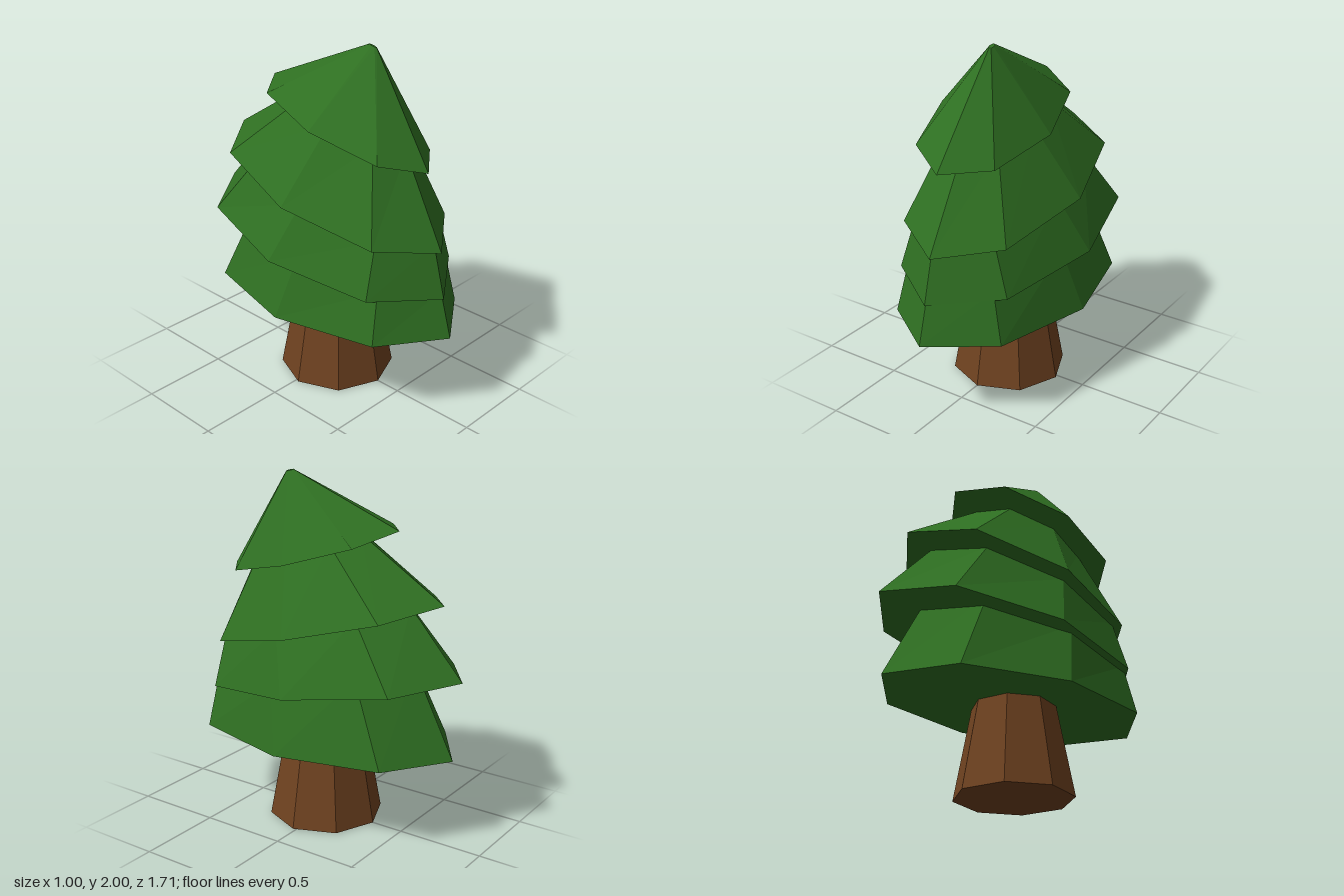
import * as THREE from 'three';

// A ring is { c: centre, a: half-axis to the left (+x), b: half-axis to the front (+z) }
const ring = (c, a, b) => ({
  c: new THREE.Vector3(...c),
  a: new THREE.Vector3(...a),
  b: new THREE.Vector3(...b),
});

const pointOn = (r, x, z) => r.c.clone().addScaledVector(r.a, x).addScaledVector(r.b, z);

// Eight-sided capped frustum skewed between two tilted elliptical rings
function frustum(name, material, bottom, top) {
  const geometry = new THREE.CylinderGeometry(1, 1, 1, 8).toNonIndexed();
  const pos = geometry.attributes.position;
  for (let i = 0; i < pos.count; i++) {
    const x = pos.getX(i), z = pos.getZ(i);
    const p = pointOn(pos.getY(i) > 0 ? top : bottom, x, z);
    pos.setXYZ(i, p.x, p.y, p.z);
  }
  geometry.computeVertexNormals();
  const mesh = new THREE.Mesh(geometry, material);
  mesh.name = name;
  return mesh;
}

export function createModel() {
  const tree = new THREE.Group();
  tree.name = 'tree';

  const bark = new THREE.MeshStandardMaterial({ color: 0x6f4220, flatShading: true });
  const leaf = new THREE.MeshStandardMaterial({ color: 0x2f7022, flatShading: true });

  // Tapered trunk, reaching slightly into the foliage
  tree.add(frustum('trunk', bark,
    ring([0, 0, 0.02], [0.33, 0, 0], [0, 0, 0.33]),
    ring([0, 0.55, 0.02], [0.228, 0, 0], [0, 0, 0.228])));

  // Foliage tiers, lowest first; each one tilts further forward
  const tiers = [
    ['lowestTier',
      ring([0, 0.51, 0.02], [0.5, 0, 0], [0, 0, 0.835]),
      ring([0, 0.885, 0.107], [0.405, 0, 0], [0, -0.115, 0.672])],
    ['lowerMiddleTier',
      ring([0, 0.847, -0.028], [0.5, 0, -0.005], [0, -0.118, 0.828]),
      ring([0, 1.18, 0.095], [0.365, 0, 0], [0, -0.15, 0.625])],
    ['upperMiddleTier',
      ring([-0.008, 1.17, 0.022], [0.457, -0.01, -0.025], [0.02, -0.185, 0.74]),
      ring([0.015, 1.585, 0.14], [0.22, -0.025, -0.015], [0.01, -0.105, 0.35])],
    ['topTier',
      ring([-0.022, 1.566, 0.12], [0.335, -0.04, -0.03], [0.02, -0.15, 0.545]),
      ring([0.04, 1.994, 0.235], [0.012, -0.003, 0], [0, -0.006, 0.025])],
  ];
  for (const [name, bottom, top] of tiers) tree.add(frustum(name, leaf, bottom, top));

  return tree;
}
